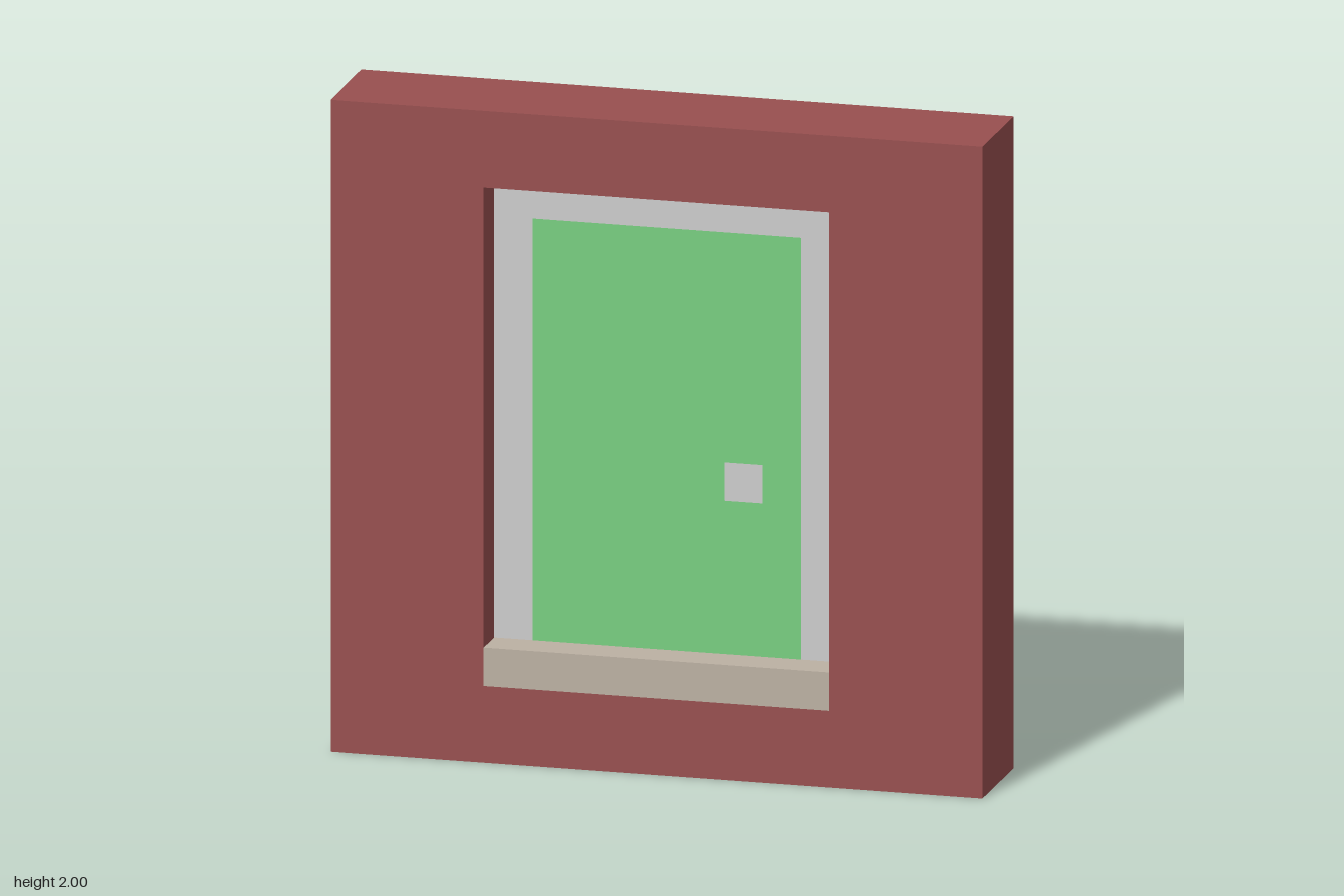
import * as THREE from 'three';

const U = 2 / 17; // building module: every part is a whole number of units

const flat = (name, color) => {
  const m = new THREE.MeshStandardMaterial({ color });
  m.name = name;
  return m;
};

// Rectangular path from [x0, y0, x1, y1] in units
function rect(path, [x0, y0, x1, y1]) {
  path.moveTo(x0 * U, y0 * U);
  path.lineTo(x1 * U, y0 * U);
  path.lineTo(x1 * U, y1 * U);
  path.lineTo(x0 * U, y1 * U);
  path.closePath();
  return path;
}

// Slab between z0 and z1 (units) with an optional rectangular hole
function slab(name, material, outer, z0, z1, hole) {
  const shape = rect(new THREE.Shape(), outer);
  if (hole) shape.holes.push(rect(new THREE.Path(), hole));
  const geometry = new THREE.ExtrudeGeometry(shape, { depth: (z1 - z0) * U, bevelEnabled: false });
  geometry.translate(0, 0, z0 * U);
  const mesh = new THREE.Mesh(geometry, material);
  mesh.name = name;
  return mesh;
}

export function createModel() {
  const brick = flat('brick red', 0x984f4f);
  const white = flat('pale grey', 0xcccccc);
  const green = flat('door green', 0x78ce80);
  const stone = flat('sill beige', 0xbcb1a3);

  const model = new THREE.Group();
  model.name = 'doorInWall';

  // Wall: front plate with the opening, and a rim that leaves the back hollow
  const wall = new THREE.Group();
  wall.name = 'wall';
  const outline = [-8.5, 0, 8.5, 17];
  wall.add(
    slab('wallPlate', brick, outline, 0.5, 1.5, [-4.5, 2, 4.5, 15]),
    slab('wallRim', brick, outline, -1.5, 0.5, [-7.5, 1, 7.5, 16])
  );

  // Door set behind the plate: jambs, lintel, panel and a flush handle
  const door = new THREE.Group();
  door.name = 'door';
  for (const [name, x] of [['rightJamb', -4.5], ['leftJamb', 3.5]]) {
    door.add(slab(name, white, [x, 3, x + 1, 14], -0.5, 0.5));
  }
  const handle = [1.5, 7, 2.5, 8];
  door.add(
    slab('lintel', white, [-4.5, 14, 4.5, 15], -0.5, 0.5),
    slab('doorPanel', green, [-3.5, 3, 3.5, 14], -0.5, 0.5, handle),
    slab('handle', white, handle, -0.5, 0.5)
  );

  // Sill through the full depth of the wall
  const sill = slab('sill', stone, [-4.5, 2, 4.5, 3], -1.5, 1.5);

  model.add(wall, door, sill);
  return model;
}
